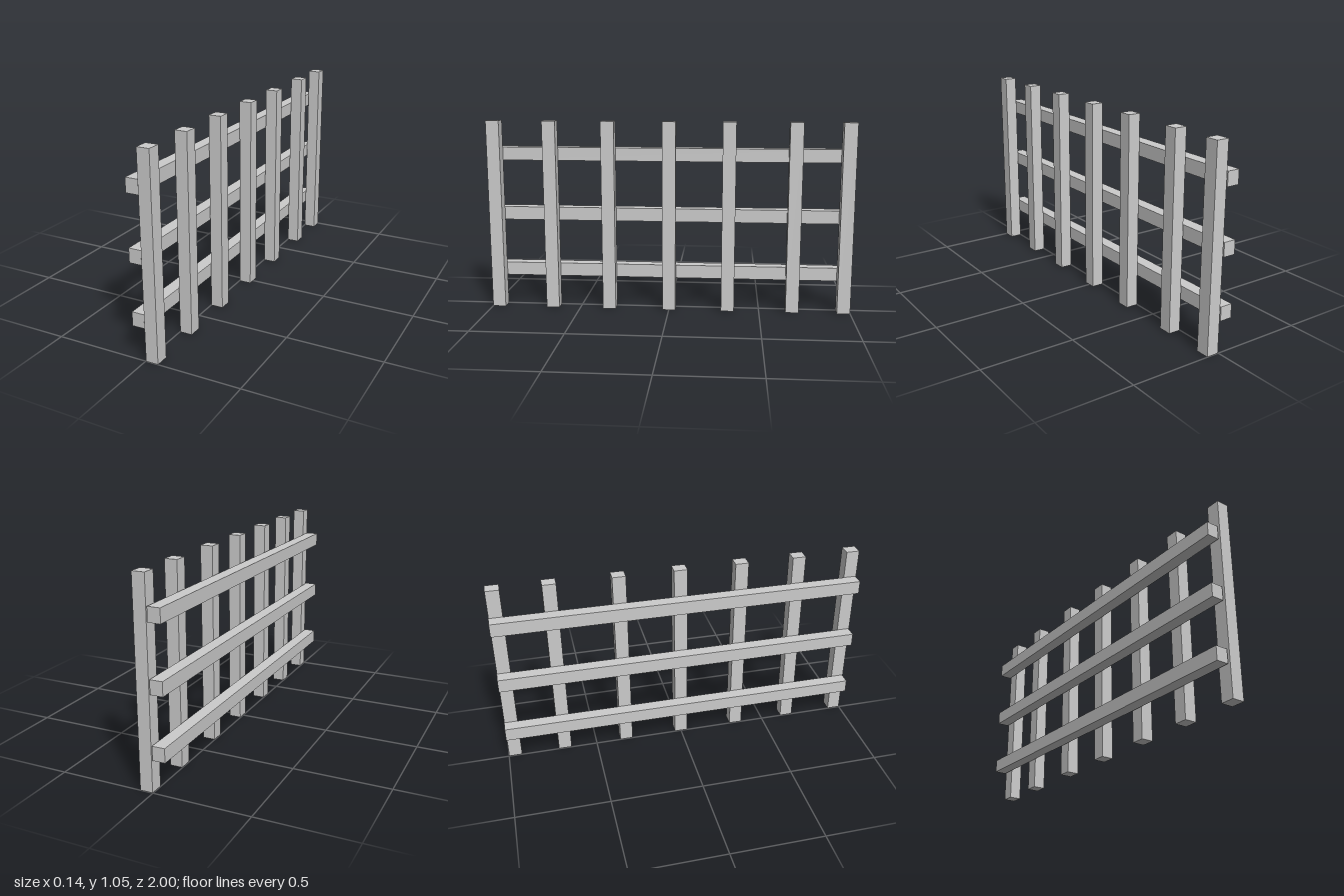
import * as THREE from 'three';

export function createModel() {
  const model = new THREE.Group();
  model.name = 'fence';
  const material = new THREE.MeshStandardMaterial({ color: 0xcccccc, flatShading: true });

  const addBeam = (name, size, position) => {
    const beam = new THREE.Mesh(new THREE.BoxGeometry(...size), material);
    beam.name = name;
    beam.position.set(...position);
    model.add(beam);
  };

  // Upright posts, slightly unevenly spaced along z
  const postHeight = 1.047;
  [0.964, 0.655, 0.334, 0, -0.326, -0.682, -0.963].forEach((z, i) =>
    addBeam(`post${i + 1}`, [0.066, postHeight, 0.072], [0.035, postHeight / 2, z]));

  // Horizontal rails just behind the posts
  [0.203, 0.525, 0.861].forEach((y, i) =>
    addBeam(`rail${i + 1}`, [0.066, 0.073, 1.992], [-0.037, y, -0.004]));

  return model;
}
